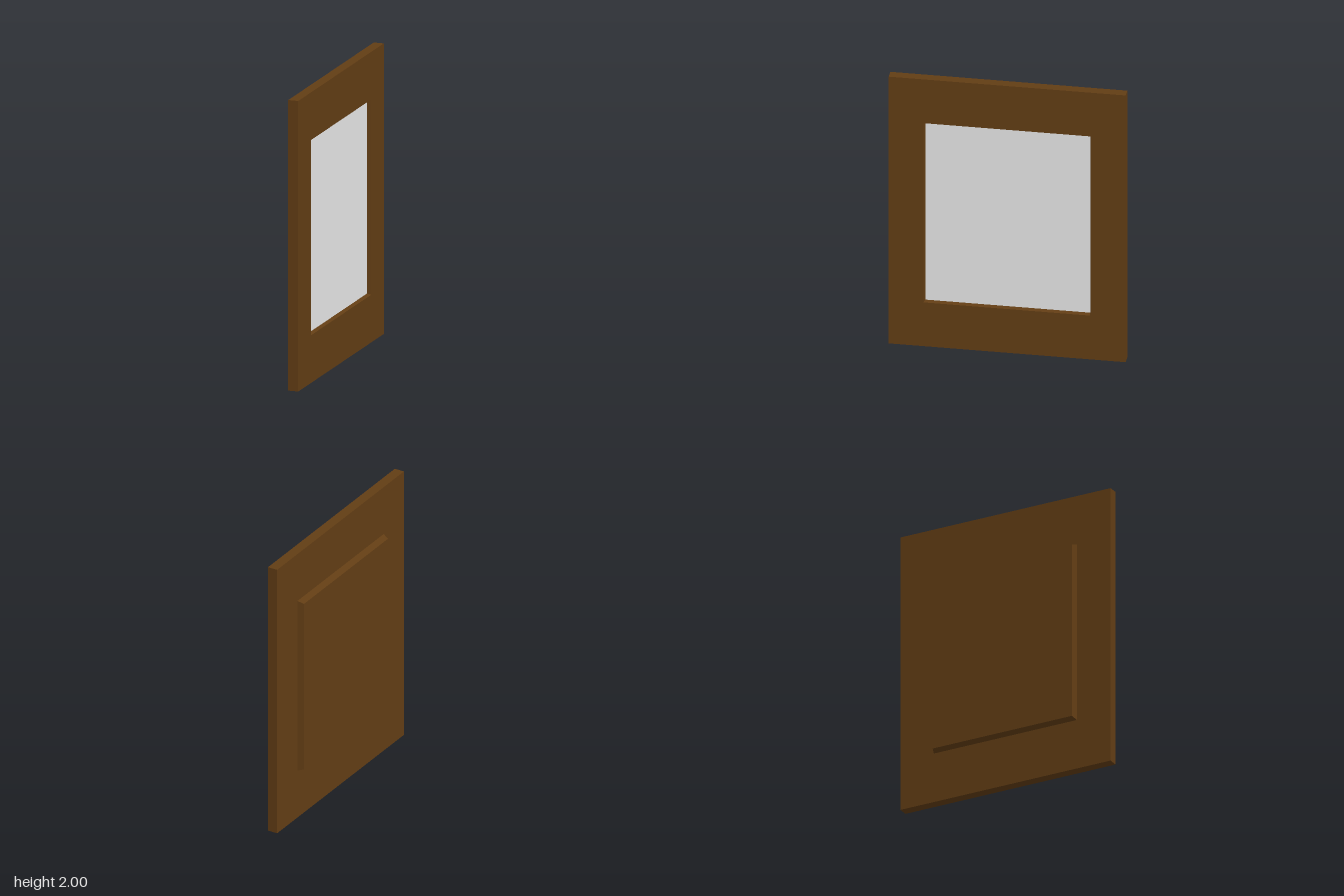
import * as THREE from 'three';

const CENTER_Y = 1;

// Joins successive rectangular outlines [x, half depth, half height] with flat quads.
function loftRectangles(sections) {
  const corners = [[1, -1], [-1, -1], [-1, 1], [1, 1]];
  const point = ([x, hz, hy], i) => {
    const [sz, sy] = corners[i % 4];
    return [x, CENTER_Y + sy * hy, sz * hz];
  };
  const positions = [];
  for (let s = 0; s < sections.length - 1; s++) {
    for (let i = 0; i < 4; i++) {
      const a = point(sections[s], i), b = point(sections[s], i + 1);
      const c = point(sections[s + 1], i + 1), d = point(sections[s + 1], i);
      positions.push(...a, ...b, ...c, ...a, ...c, ...d);
    }
  }
  const geometry = new THREE.BufferGeometry();
  geometry.setAttribute('position', new THREE.Float32BufferAttribute(positions, 3));
  geometry.computeVertexNormals();
  return geometry;
}

// A flat rectangle facing +x (side = 1) or -x (side = -1).
function sidePlane([x, hz, hy], side) {
  return new THREE.PlaneGeometry(hz * 2, hy * 2)
    .rotateY(side * Math.PI / 2)
    .translate(x, CENTER_Y, 0);
}

export function createModel() {
  const wood = new THREE.MeshStandardMaterial({ color: 0x623d14 });
  wood.name = 'dark wood';
  const pane = new THREE.MeshStandardMaterial({ color: 0xffffff });
  pane.name = 'white pane';

  const model = new THREE.Group();
  model.name = 'pictureFrame';
  const add = (name, geometry, material) => {
    const mesh = new THREE.Mesh(geometry, material);
    mesh.name = name;
    model.add(mesh);
  };

  // Outlines shared by neighbouring parts; the recess and back box follow one taper.
  const backEnd = [-0.057, 0.53, 0.628];
  const backBase = [-0.014, 0.544, 0.644];
  const paneEdge = [0.03, 0.557, 0.664];

  // Frame: back face, outer edges, front face and tapered recess walls
  add('frame', loftRectangles([
    backBase, [-0.014, 0.8, 1], [0.057, 0.8, 1], [0.057, 0.565, 0.672], paneEdge,
  ]), wood);

  // Tapered box on the back
  add('backBoxSides', loftRectangles([backEnd, backBase]), wood);
  add('backBoxCover', sidePlane(backEnd, -1), wood);

  // Recessed pane
  add('pane', sidePlane(paneEdge, 1), pane);

  return model;
}
